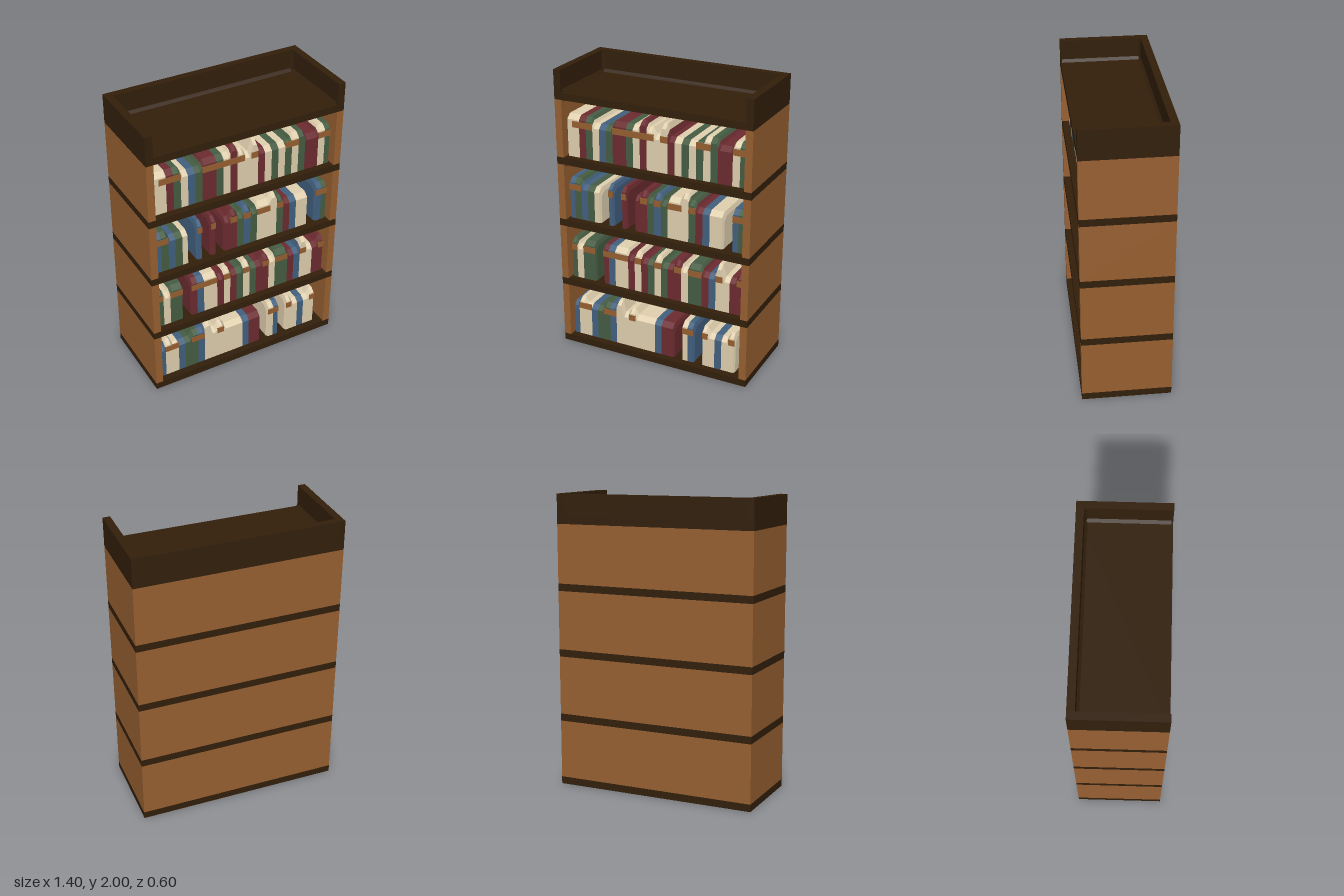
import * as THREE from 'three';

const mat = (name, color) => {
  const m = new THREE.MeshStandardMaterial({ color });
  m.name = name;
  return m;
};

export function createModel() {
  const group = new THREE.Group();
  const wood = mat('wood', 0x976031);
  const dark = mat('darkWood', 0x321f0b);
  const covers = {
    C: mat('cream', 0xe0d0af),
    R: mat('red', 0x6b2b30),
    G: mat('green', 0x455c42),
    B: mat('blue', 0x42607f),
  };

  const add = (name, geometry, material, parent = group) => {
    const mesh = new THREE.Mesh(geometry, material);
    mesh.name = name;
    parent.add(mesh);
    return mesh;
  };
  // Box given by its lower and upper corners
  const box = (name, x0, x1, y0, y1, z0, z1, material, parent) => {
    const g = new THREE.BoxGeometry(x1 - x0, y1 - y0, z1 - z0);
    g.translate((x0 + x1) / 2, (y0 + y1) / 2, (z0 + z1) / 2);
    return add(name, g, material, parent);
  };
  // Four-sided strip along one axis that bevels an inner corner
  const bevel = (axis, length, x, y, z, material) => {
    const g = new THREE.CylinderGeometry(0.018, 0.018, length, 4, 1, true).toNonIndexed();
    g.computeVertexNormals();
    if (axis === 'x') g.rotateZ(Math.PI / 2);
    if (axis === 'z') g.rotateX(Math.PI / 2);
    g.translate(x, y, z);
    add('cornerBevel', g, material);
  };

  // Cabinet: shelves with wall panels between them
  const shelves = [0, 0.45, 0.9, 1.35, 1.8];
  shelves.forEach((y, i) => {
    const top = i === 4;
    const y0 = y + 0.05, y1 = top ? 2 : shelves[i + 1];
    const material = top ? dark : wood;
    box(top ? 'topBoard' : 'shelf', -0.7, 0.7, y, y0, -0.3, 0.3, dark);
    for (const s of [-1, 1]) {
      const x = s * 0.675;
      box(top ? 'topSideRim' : 'sidePanel', x - 0.025, x + 0.025, y0, y1, -0.3, 0.3, material);
      bevel('y', y1 - y0 - 0.02, s * 0.65, (y0 + y1) / 2, -0.25, material);
      bevel('z', 0.54, s * 0.65, top ? y0 : y1, 0.02, dark);
    }
    box(top ? 'topBackRim' : 'backPanel', -0.65, 0.65, y0, y1, -0.3, -0.25, material);
    bevel('x', 1.3, 0, top ? y0 : y1, -0.25, dark);
  });

  // Book rows: cover colour and height step for each 0.05 wide slot, then trim bands as slot ranges
  const rows = [
    { y: 0.05, covers: 'BCCBGGBCCCCCCBRR_CB_CCBCC_', steps: '01000112010000000110100010',
      bands: [[1, 2], [5, 6], [9, 9], [17, 18], [20, 20], [24, 24]] },
    { y: 0.5, covers: 'GCGG_RBCCRCRGCGRRCGGRBCCRR', steps: '10110111101001001011002001',
      bands: [[0, 0], [2, 3], [5, 8], [10, 10], [13, 13], [16, 16], [18, 19], [22, 22], [25, 25]] },
    { y: 0.95, covers: 'BGBGC_B_R_RRGBGCCCGRBCC_BG', steps: '11000010100101011210000011',
      bands: [[0, 1], [6, 6], [8, 8], [11, 11], [13, 13], [15, 16], [18, 18], [24, 25]] },
    { y: 1.4, covers: 'CCRGCBGRRGCRCCCRCGCGCGRRCG', steps: '11110001111210200000110011',
      bands: [[1, 3], [7, 12], [14, 14], [19, 20], [24, 25]] },
  ];
  const slotX = (i) => -0.65 + 0.05 * i;
  const FRONT = 0.252, BACK = -0.25;

  // Lofts a block of books along x from samples of {x, h, z}
  const loftBooks = (samples, y) => {
    const pos = [], idx = [];
    for (const { x, h, z } of samples) {
      pos.push(x, y, z, x, y + h - 0.03, z, x, y + h, z - 0.035, x, y + h, BACK, x, y, BACK);
    }
    const last = (samples.length - 1) * 5;
    for (let a = 0; a < last; a += 5) {
      for (let j = 0; j < 3; j++) {
        const p = a + j, q = p + 5;
        idx.push(p, q, q + 1, p, q + 1, p + 1);
      }
    }
    for (let j = 1; j < 4; j++) {
      idx.push(0, j, j + 1, last, last + j + 1, last + j);
    }
    const g = new THREE.BufferGeometry();
    g.setAttribute('position', new THREE.Float32BufferAttribute(pos, 3));
    g.setIndex(idx);
    const flat = g.toNonIndexed();
    flat.computeVertexNormals();
    return flat;
  };

  for (const row of rows) {
    const books = new THREE.Group();
    books.name = 'bookRow';
    group.add(books);
    const n = row.covers.length;
    const height = (i) => 0.25 + 0.04 * Number(row.steps[i]);
    const filled = (i) => i >= 0 && i < n && row.covers[i] !== '_';
    // Sample on the edge of slot i towards side s; free ends are rounded in
    const edge = (i, s) => {
      const x = slotX(i + (s > 0 ? 1 : 0));
      return filled(i + s)
        ? { x, h: (height(i) + height(i + s)) / 2, z: FRONT }
        : { x: x - s * 0.003, h: height(i) - 0.03, z: FRONT - 0.018 };
    };

    for (let i = 0; i < n;) {
      const c = row.covers[i];
      let end = i;
      while (end + 1 < n && row.covers[end + 1] === c) end++;
      if (c !== '_') {
        const samples = [];
        for (let k = i; k <= end; k++) {
          samples.push(edge(k, -1));
          for (const t of [0.25, 0.75]) samples.push({ x: slotX(k + t), h: height(k), z: FRONT });
        }
        samples.push(edge(end, 1));
        add('book', loftBooks(samples, row.y), covers[c], books);
      }
      i = end + 1;
    }
    // Thin trim bands across the spines
    for (const [a, b] of row.bands) {
      const x0 = slotX(a) + (filled(a - 1) ? 0 : 0.008);
      const x1 = slotX(b + 1) - (filled(b + 1) ? 0 : 0.008);
      box('spineBand', x0, x1, row.y + 0.207, row.y + 0.25, FRONT - 0.005, FRONT + 0.003, wood, books);
    }
  }
  return group;
}
